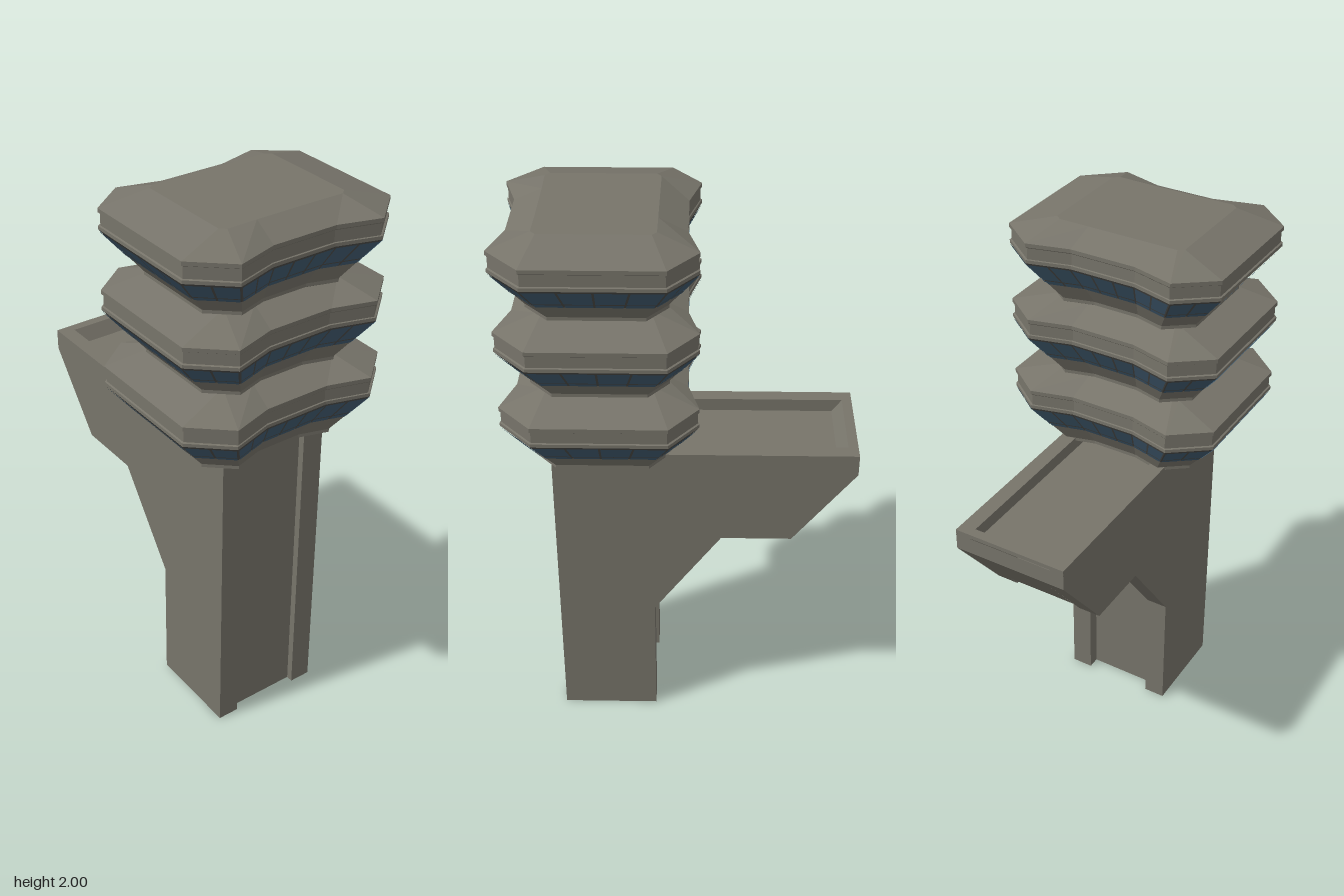
import * as THREE from 'three';

const concrete = new THREE.MeshStandardMaterial({ color: 0x77746a, side: THREE.DoubleSide, flatShading: true });
concrete.name = 'concrete';
const frame = new THREE.MeshStandardMaterial({ color: 0x4a4a47, side: THREE.DoubleSide, flatShading: true });
frame.name = 'window frame';
const glass = new THREE.MeshStandardMaterial({ color: 0x405a6e, side: THREE.DoubleSide, flatShading: true });
glass.name = 'glass';

// Builds one mesh from quads, each four corners counter-clockwise
function quadMesh(name, quads, material) {
  const pos = [];
  for (const [a, b, c, d] of quads) for (const p of [a, b, c, a, c, d]) pos.push(...p);
  const g = new THREE.BufferGeometry();
  g.setAttribute('position', new THREE.Float32BufferAttribute(pos, 3));
  g.computeVertexNormals();
  const m = new THREE.Mesh(g, material);
  m.name = name;
  return m;
}

function box(name, x0, x1, y0, y1, z0, z1) {
  const m = new THREE.Mesh(new THREE.BoxGeometry(x1 - x0, y1 - y0, z1 - z0), concrete);
  m.position.set((x0 + x1) / 2, (y0 + y1) / 2, (z0 + z1) / 2);
  m.name = name;
  return m;
}

// Plan of a cabin at its widest, and of its flat roof: right half, front to back
const mirrorPlan = half => [...half, ...half.map(([x, z]) => [-x, z]).reverse()];
const PLAN = mirrorPlan([[0.12, 0.56], [0.27, 0.605], [0.4, 0.49], [0.4, 0.04], [0.27, -0.06], [0.12, -0.02]]);
const ROOF = mirrorPlan([[0.11, 0.465], [0.22, 0.467], [0.24, 0.45], [0.24, 0.09], [0.22, 0.075], [0.11, 0.075]]);
const CZ = 0.2725;
const ring = (s, y) => PLAN.map(([x, z]) => [x * s, y, CZ + (z - CZ) * s]);

function band(a, b) {
  return a.map((p, i) => {
    const j = (i + 1) % a.length;
    return [p, a[j], b[j], b[i]];
  });
}

function cap(r, up) {
  const c = [0, r[0][1], CZ];
  return r.map((p, i) => {
    const q = r[(i + 1) % r.length];
    return up ? [c, p, q, q] : [c, q, p, p];
  });
}

// Glass panes lying just proud of each sloping facet
function panes(low, high) {
  const quads = [];
  const v = p => new THREE.Vector3(...p);
  for (const [a, b, c, d] of band(low, high).map(q => q.map(v))) {
    const n = b.clone().sub(a).cross(d.clone().sub(a)).normalize().multiplyScalar(0.003);
    const at = (s, t) => a.clone().lerp(b, s).lerp(d.clone().lerp(c, s), t).add(n).toArray();
    const width = c.distanceTo(d);
    const count = width > 0.35 ? 4 : width > 0.2 ? 3 : 2;
    const gap = 0.004 / width;
    for (let i = 0; i < count; i++) {
      const s0 = i / count + gap, s1 = (i + 1) / count - gap;
      for (const [t0, t1] of [[0.04, 0.2], [0.25, 0.96]])
        quads.push([at(s0, t0), at(s1, t0), at(s1, t1), at(s0, t1)]);
    }
  }
  return quads;
}

function cabin(y) {
  const g = new THREE.Group();
  const base = [[0.66, 0], [0.7, 0.006], [0.7, 0.018], [0.82, 0.078]].map(([s, h]) => ring(s, y + h));
  const head = [[1, 0.168], [1, 0.18], [0.985, 0.182], [0.985, 0.222], [1, 0.226], [1, 0.24]].map(([s, h]) => ring(s, y + h));
  const roof = ROOF.map(([x, z]) => [x, y + 0.284, z]);
  const loft = rings => rings.slice(1).flatMap((r, i) => band(rings[i], r));
  g.add(quadMesh('cabinBase', [...cap(base[0], false), ...loft(base)], concrete));
  g.add(quadMesh('windowFrames', band(base[3], head[0]), frame));
  g.add(quadMesh('windowPanes', panes(base[3], head[0]), glass));
  g.add(quadMesh('cabinRoof', [...loft([...head, roof]), ...cap(roof, true)], concrete));
  return g;
}

// Strip between two side profiles of [z, y] points
function strip(a, xa, b, xb) {
  const p = (q, x) => [x, q[1], q[0]];
  return a.slice(1).map((_, i) => [p(a[i], xa), p(b[i], xb), p(b[i + 1], xb), p(a[i + 1], xa)]);
}

function tower() {
  const g = new THREE.Group();
  g.name = 'tower';
  const W = 0.21, R = 0.13, TOP = 1.15;
  const back = [[0.1, 0], [0.1, 0.48], [-0.14, 0.81], [-0.39, 0.81], [-0.61, 1.09], [-0.61, TOP]];
  const channel = [[0.145, 0], [0.145, 0.5], [-0.115, 0.86], [-0.43, 0.86], [-0.61, 1.09], [-0.61, TOP]];
  const front = [[0.45, TOP], [0.45, 0]];
  const panel = [[0.425, TOP], [0.425, 0]];

  // Flat side walls
  const side = new THREE.Shape([...back, ...front].map(([z, y]) => new THREE.Vector2(-z, y)));
  for (const s of [1, -1]) {
    const wall = new THREE.Mesh(new THREE.ShapeGeometry(side), concrete);
    wall.rotation.y = Math.PI / 2;
    wall.position.x = s * W;
    wall.name = 'sideWall';
    g.add(wall);
    g.add(quadMesh('backFlange', [
      ...strip(back, s * W, back, s * R),
      ...strip(back.slice(0, 4), s * R, channel.slice(0, 4), s * R)], concrete));
    g.add(quadMesh('frontFlange', [
      ...strip(front, s * W, front, s * R),
      ...strip(front, s * R, panel, s * R)], concrete));
  }
  g.add(quadMesh('backChannel', strip(channel, R, channel, -R), concrete));
  g.add(quadMesh('frontPanel', strip(panel, R, panel, -R), concrete));
  return g;
}

// Sunken deck with a raised rim on the rear bracket
function deck() {
  const g = new THREE.Group();
  g.name = 'deck';
  for (const s of [1, -1]) {
    const [x0, x1] = s > 0 ? [0.155, 0.21] : [-0.21, -0.155];
    g.add(box('rimSide', x0, x1, 1.152, 1.167, -0.61, 0.06));
    g.add(box('rimSideFoot', x0, x1 - 0.004 * (s > 0), 1.12, 1.152, -0.605, 0.4));
  }
  g.add(box('rimBack', -0.155, 0.155, 1.152, 1.167, -0.61, -0.575));
  g.add(quadMesh('deckFloor', [
    [[-0.155, 1.12, 0.4], [0.155, 1.12, 0.4], [0.155, 1.12, -0.54], [-0.155, 1.12, -0.54]],
    [[-0.155, 1.12, -0.54], [0.155, 1.12, -0.54], [0.155, 1.167, -0.575], [-0.155, 1.167, -0.575]]], concrete));
  return g;
}

export function createModel() {
  const model = new THREE.Group();
  model.name = 'controlTower';
  model.add(tower(), deck());
  // Three identical stacked cabins
  ['lowerCabin', 'middleCabin', 'upperCabin'].forEach((name, i) => {
    const c = cabin(1.15 + i * 0.283);
    c.name = name;
    model.add(c);
  });
  return model;
}
